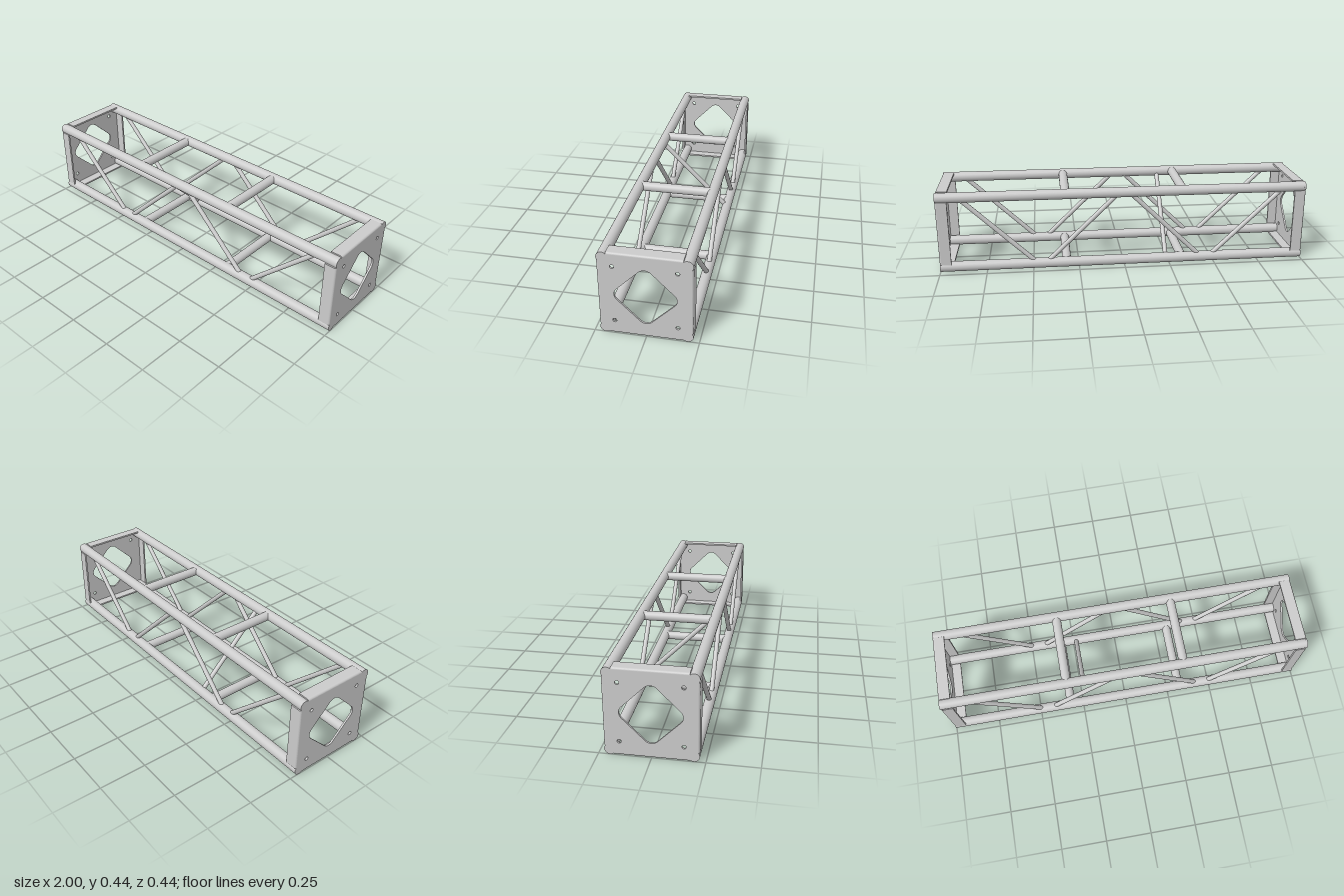
import * as THREE from 'three';

const MID = 0.2225;        // height of the truss axis
const HALF = 0.195;        // axis to chord centre
const CHORD_R = 0.0275;
const material = new THREE.MeshStandardMaterial({ color: 0xcccccc });

function add(parent, name, geometry) {
  const mesh = new THREE.Mesh(geometry, material);
  mesh.name = name;
  parent.add(mesh);
  return mesh;
}

// Round tube between two points
function rod(parent, name, a, b, radius, sides = 24) {
  const from = new THREE.Vector3(...a), to = new THREE.Vector3(...b);
  const dir = to.clone().sub(from);
  const mesh = add(parent, name, new THREE.CylinderGeometry(radius, radius, dir.length(), sides));
  mesh.position.copy(from).add(to).multiplyScalar(0.5);
  mesh.quaternion.setFromUnitVectors(new THREE.Vector3(0, 1, 0), dir.normalize());
}

// Plate outline with round ears over the chords, diamond window and bolt holes
function plateGeometry() {
  const shape = new THREE.Shape();
  const edge = 0.2125, deg = Math.PI / 180;
  for (let k = 0; k < 4; k++) {
    const turn = -k * Math.PI / 2;
    const c = Math.cos(turn), s = Math.sin(turn);
    const p = (x, y) => [x * c - y * s, x * s + y * c];
    if (k === 0) shape.moveTo(...p(-0.177, edge));
    else shape.lineTo(...p(-0.177, edge));
    shape.lineTo(...p(0.177, edge));
    shape.absarc(...p(HALF, HALF), CHORD_R, 130 * deg + turn, -40 * deg + turn, true);
  }
  shape.closePath();

  const window_ = new THREE.Path();
  const r = 0.041, centre = 0.147 - r;
  for (let k = 0; k < 4; k++) {
    const a = k * Math.PI / 2;
    window_.absarc(centre * Math.cos(a), centre * Math.sin(a), r, a - Math.PI / 4, a + Math.PI / 4, false);
  }
  window_.closePath();
  shape.holes.push(window_);
  for (const x of [-0.15, 0.15]) for (const y of [-0.15, 0.15]) {
    shape.holes.push(new THREE.Path().absarc(x, y, 0.01, 0, Math.PI * 2, false));
  }
  const g = new THREE.ExtrudeGeometry(shape, { depth: 0.01, bevelEnabled: false, curveSegments: 14 });
  return g.rotateY(Math.PI / 2).translate(0.99, 0, 0);
}

// Folded flange with a rounded outer bend
function flangeGeometry() {
  const shape = new THREE.Shape();
  shape.moveTo(0.938, 0.2125);
  shape.lineTo(1, 0.2125);
  shape.absarc(0.99, 0.2125, 0.01, 0, Math.PI / 2, false);
  shape.lineTo(0.938, 0.2225);
  shape.closePath();
  const g = new THREE.ExtrudeGeometry(shape, { depth: 0.354, bevelEnabled: false, curveSegments: 6 });
  return g.translate(0, 0, -0.177);
}

export function createModel() {
  const model = new THREE.Group();
  model.name = 'boxTruss';
  const truss = new THREE.Group();
  truss.name = 'truss';
  truss.position.y = MID;
  model.add(truss);

  // Four main chords
  for (const y of [-HALF, HALF]) for (const z of [-HALF, HALF]) {
    rod(truss, 'chord', [-0.995, y, z], [0.995, y, z], CHORD_R, 40);
  }

  // Cross bars in the top and bottom faces
  for (const y of [-HALF, HALF]) for (const x of [-0.322, 0.318]) {
    rod(truss, 'crossBar', [x, y, -HALF], [x, y, HALF], 0.0245, 32);
  }

  // Zigzag braces in the front and back faces
  for (const z of [-HALF, HALF]) for (const s of [-1, 1]) {
    rod(truss, 'outerBrace', [s * 0.884, HALF, z], [s * 0.476, -HALF, z], 0.0125);
    rod(truss, 'innerBrace', [s * 0.026, HALF, z], [s * 0.429, -HALF, z], 0.0125);
  }

  // Single diagonal across the inside
  rod(truss, 'diagonalBrace', [-0.232, HALF, HALF], [-0.232, -HALF, -HALF], 0.0125);

  // Folded end plates
  const plate = plateGeometry(), flange = flangeGeometry();
  for (const side of [0, 1]) {
    const end = new THREE.Group();
    end.name = side ? 'rightEndPlate' : 'leftEndPlate';
    end.rotation.y = side * Math.PI;
    add(end, 'plate', plate);
    for (let k = 0; k < 4; k++) add(end, 'flange', flange).rotation.x = k * Math.PI / 2;
    truss.add(end);
  }
  return model;
}
